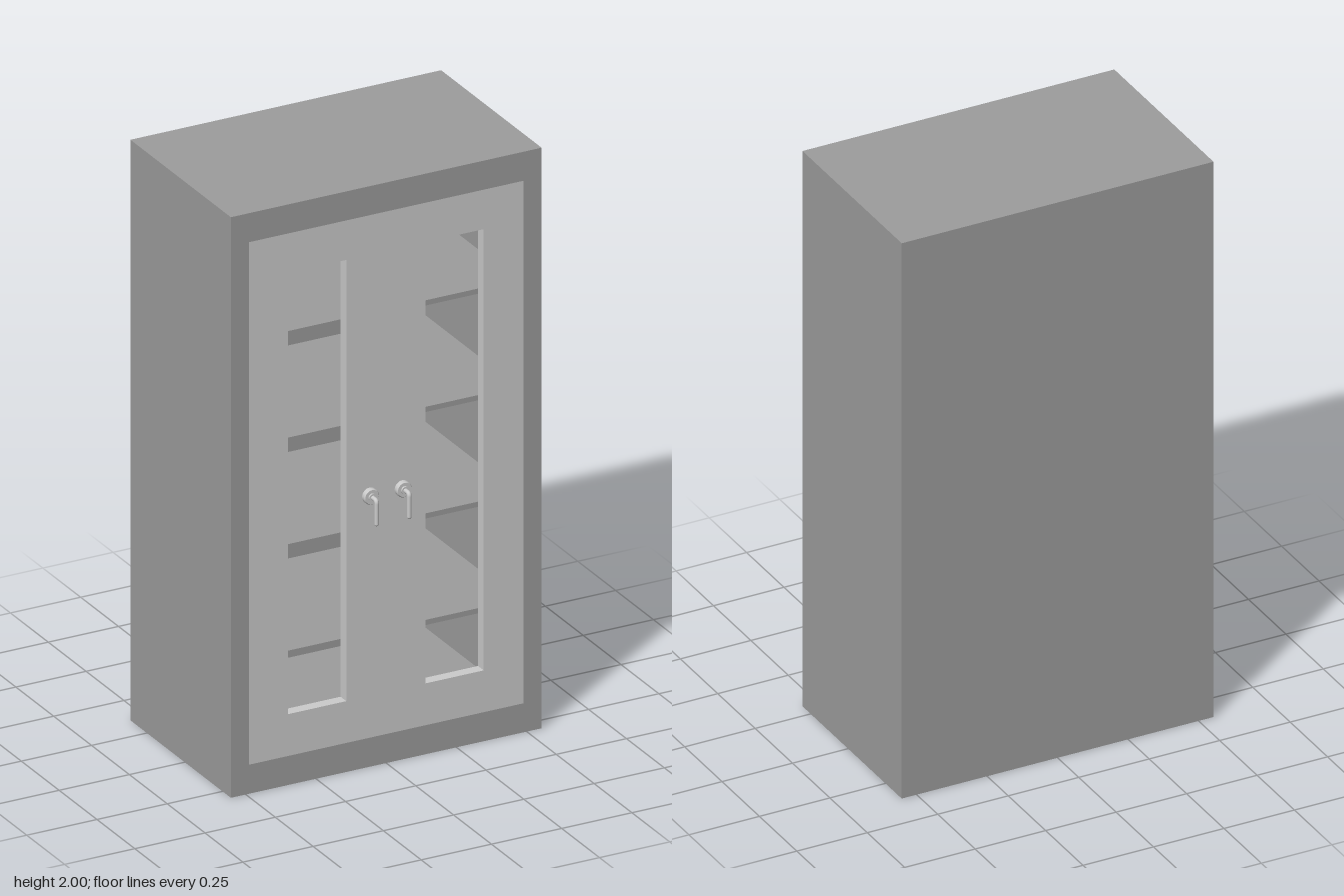
import * as THREE from 'three';

const bodyMat = new THREE.MeshStandardMaterial({ color: 0x9d9d9d });
const doorMat = new THREE.MeshStandardMaterial({ color: 0xcccccc });

const BACK = -0.359, FRONT = 0.305, BACK_T = 0.012, DOOR_T = 0.038;
const HALF_W = 0.553, OPEN_W = 0.489, OPEN_Y0 = 0.1, OPEN_Y1 = 1.9;

function rect(Type, x0, y0, x1, y1) {
  return new Type([[x0, y0], [x1, y0], [x1, y1], [x0, y1]].map(p => new THREE.Vector2(...p)));
}

// Rectangular slab with rectangular holes, extruded from z0 to z1
function slab(outer, holes, z0, z1) {
  const shape = rect(THREE.Shape, ...outer);
  shape.holes = holes.map(h => rect(THREE.Path, ...h));
  return new THREE.ExtrudeGeometry(shape, { depth: z1 - z0, bevelEnabled: false }).translate(0, 0, z0);
}

function add(parent, name, geometry, material, x = 0, y = 0, z = 0) {
  const mesh = new THREE.Mesh(geometry, material);
  mesh.name = name;
  mesh.position.set(x, y, z);
  parent.add(mesh);
  return mesh;
}

// Round rose, collar and a lever bent downwards; origin on the door face
function makeHandle(name) {
  const handle = new THREE.Group();
  handle.name = name;
  const rose = new THREE.LatheGeometry([
    [0, 0], [0.027, 0], [0.027, 0], [0.027, 0.012], [0.027, 0.012], [0.024, 0.016],
    [0.024, 0.016], [0.013, 0.016], [0.013, 0.016], [0.013, 0.022], [0.013, 0.022], [0, 0.022],
  ].map(p => new THREE.Vector2(...p)), 32).rotateX(Math.PI / 2);
  add(handle, 'handleRose', rose, doorMat);

  const r = 0.0075, reach = 0.046, bend = 0.01, drop = -0.08;
  const path = new THREE.CurvePath();
  const v = (y, z) => new THREE.Vector3(0, y, z);
  path.add(new THREE.LineCurve3(v(0, 0.015), v(0, reach - bend)));
  path.add(new THREE.QuadraticBezierCurve3(v(0, reach - bend), v(0, reach), v(-bend, reach)));
  path.add(new THREE.LineCurve3(v(-bend, reach), v(drop, reach)));
  add(handle, 'handleLever', new THREE.TubeGeometry(path, 48, r, 16), doorMat);
  add(handle, 'handleTip', new THREE.SphereGeometry(r, 16, 12), doorMat, 0, drop, reach);
  return handle;
}

export function createModel() {
  const cabinet = new THREE.Group();
  cabinet.name = 'cabinet';

  // Carcass: thick sides, top and base, closed by a thin back
  const inner = BACK + BACK_T;
  add(cabinet, 'carcass',
    slab([-HALF_W, 0, HALF_W, 2], [[-OPEN_W, OPEN_Y0, OPEN_W, OPEN_Y1]], inner, FRONT), bodyMat);
  add(cabinet, 'backPanel', new THREE.BoxGeometry(HALF_W * 2, 2, BACK_T), bodyMat, 0, 1, BACK + BACK_T / 2);

  // Door panel with two tall openings, set just inside the frame
  const doorFace = FRONT - 0.002;
  const windows = [[-0.348, 0.243, -0.141, 1.763], [0.141, 0.243, 0.348, 1.763]];
  add(cabinet, 'doorPanel',
    slab([-OPEN_W, OPEN_Y0, OPEN_W, OPEN_Y1], windows, doorFace - DOOR_T, doorFace), doorMat);

  // Four evenly spaced shelves
  const shelfDepth = doorFace - DOOR_T - inner;
  for (let i = 0; i < 4; i++) {
    add(cabinet, `shelf${i + 1}`, new THREE.BoxGeometry(OPEN_W * 2, 0.018, shelfDepth), bodyMat,
      0, 0.433 + i * 0.367, inner + shelfDepth / 2);
  }

  // Pair of handles
  for (const side of [-1, 1]) {
    const handle = makeHandle(side > 0 ? 'leftHandle' : 'rightHandle');
    handle.position.set(side * 0.058, 0.934, doorFace);
    cabinet.add(handle);
  }
  return cabinet;
}
